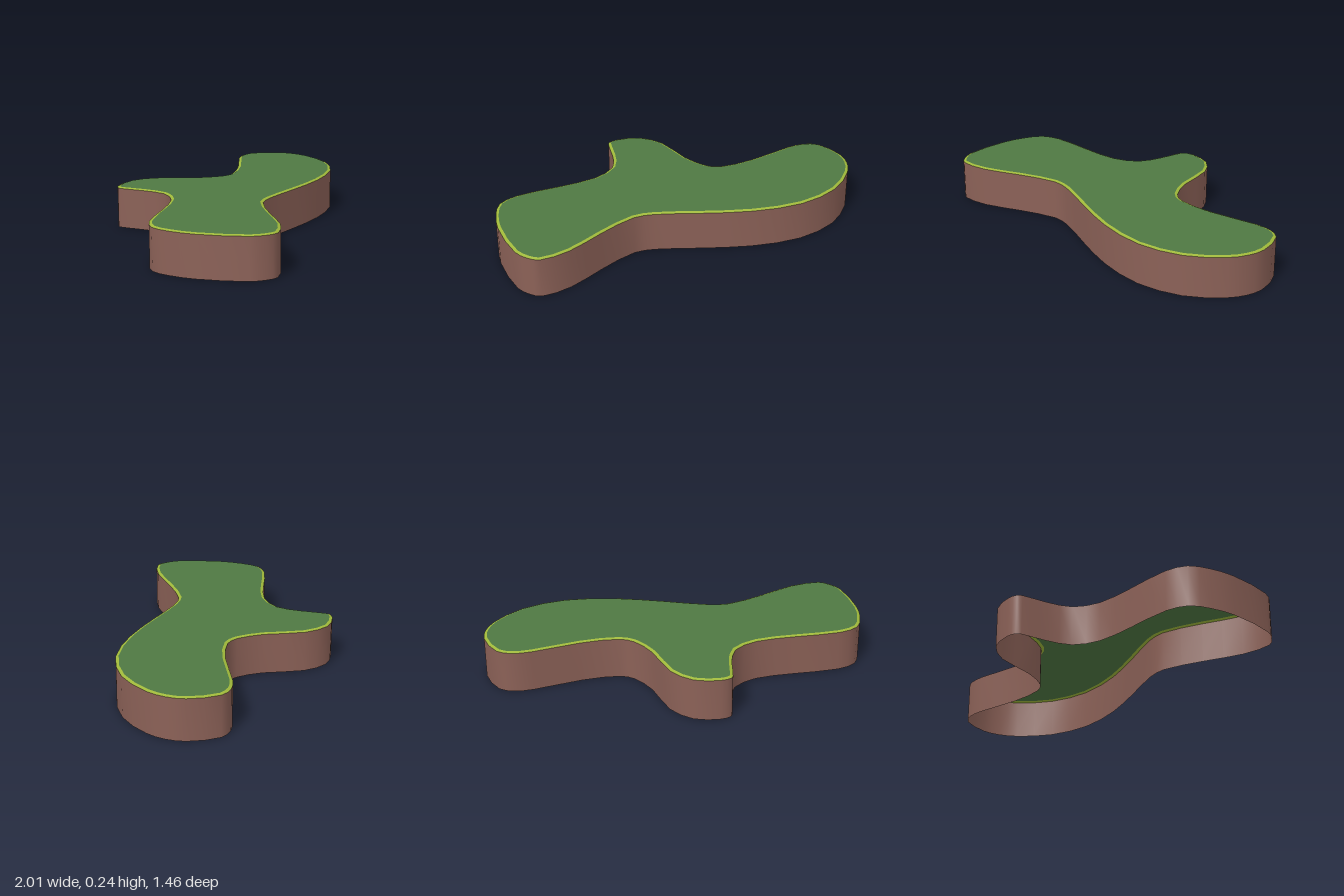
import * as THREE from 'three';

const HEIGHT = 0.24, WALL_TOP = 0.234, RIM = 0.017;

// Outline control points as [x, z], running from the left end around the back
const CONTROL = [
  [-1, 0.163], [-0.92, 0.065], [-0.69, -0.065], [-0.5, -0.185], [-0.415, -0.32], [-0.435, -0.47],
  [-0.48, -0.61], [-0.478, -0.64], [-0.435, -0.68], [-0.297, -0.72], [-0.147, -0.66], [0.01, -0.485],
  [0.147, -0.393], [0.235, -0.388], [0.425, -0.495], [0.64, -0.675], [0.735, -0.727], [0.825, -0.727],
  [0.96, -0.605], [0.998, -0.505], [0.998, -0.39], [0.917, -0.175], [0.725, 0.01], [0.447, 0.12],
  [0.15, 0.17], [-0.105, 0.205], [-0.217, 0.25], [-0.38, 0.435], [-0.52, 0.62], [-0.665, 0.723],
  [-0.735, 0.71], [-0.81, 0.66], [-0.955, 0.425], [-0.997, 0.285],
];

function makeOutline() {
  const curve = new THREE.CatmullRomCurve3(CONTROL.map(([x, z]) => new THREE.Vector3(x, 0, z)), true);
  const count = CONTROL.length * 2;
  return Array.from({ length: count }, (_, i) => {
    const p = curve.getPoint(i / count);
    return new THREE.Vector2(p.x, p.z);
  });
}

// Moves every outline point inward along its local normal
function inset(points, distance) {
  const n = points.length;
  return points.map((p, i) => {
    const t = points[(i + 1) % n].clone().sub(points[(i + n - 1) % n]).normalize();
    return new THREE.Vector2(p.x - t.y * distance, p.y + t.x * distance);
  });
}

// Closed band between a lower and an upper ring, facing outward
function band(lower, y0, upper, y1) {
  const n = lower.length, positions = [], index = [];
  lower.forEach((p) => positions.push(p.x, y0, p.y));
  upper.forEach((p) => positions.push(p.x, y1, p.y));
  for (let i = 0; i < n; i++) {
    const j = (i + 1) % n;
    index.push(i, n + j, j, i, n + i, n + j);
  }
  const geometry = new THREE.BufferGeometry();
  geometry.setAttribute('position', new THREE.Float32BufferAttribute(positions, 3));
  geometry.setIndex(index);
  geometry.computeVertexNormals();
  return geometry;
}

function material(name, color) {
  const m = new THREE.MeshStandardMaterial({ color, side: THREE.DoubleSide });
  m.name = name;
  return m;
}

export function createModel() {
  const group = new THREE.Group();
  group.name = 'grassPlatform';
  const add = (name, geometry, mat) => {
    const mesh = new THREE.Mesh(geometry, mat);
    mesh.name = name;
    group.add(mesh);
  };

  const outer = makeOutline();
  const inner = inset(outer, RIM);

  // Earth side wall, open underneath
  add('earthWall', band(outer, 0, outer, WALL_TOP), material('earth brown', 0x8b6157));

  // Narrow sloping grass edge
  add('grassEdge', band(outer, WALL_TOP, inner, HEIGHT), material('lime edge', 0x9fb83a));

  // Flat grass top
  const shape = new THREE.Shape(inner.map((p) => new THREE.Vector2(p.x, -p.y)));
  const top = new THREE.ShapeGeometry(shape).rotateX(-Math.PI / 2).translate(0, HEIGHT, 0);
  add('grassTop', top, material('grass green', 0x4f7942));

  return group;
}
